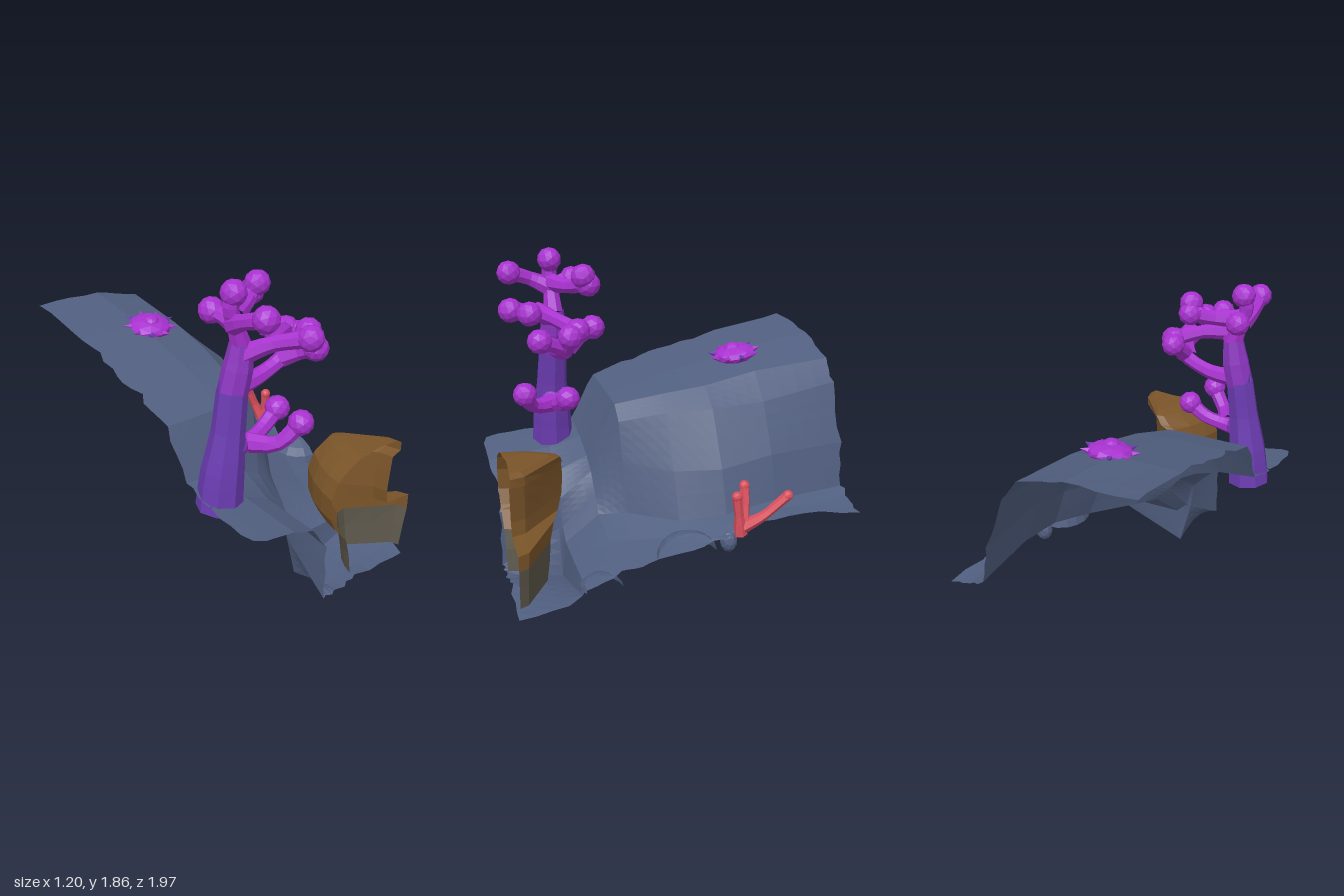
import * as THREE from 'three';

const mat = (name, color, side = THREE.FrontSide) => {
  const m = new THREE.MeshStandardMaterial({ color, flatShading: true, side });
  m.name = name;
  return m;
};
const lerp = THREE.MathUtils.lerp;

export function createModel() {
  const root = new THREE.Group();
  root.name = 'coralCliff';
  const slate = mat('slateRock', 0x515f80, THREE.DoubleSide);
  const brown = mat('brownRock', 0x7a5429, THREE.DoubleSide);
  const olive = mat('mossyRock', 0x5c564a, THREE.DoubleSide);
  const violet = mat('violetTrunk', 0x6a3bb0);
  const orchid = mat('orchidBark', 0x8a35bd);
  const magenta = mat('magentaCoral', 0xa832cf);
  const red = mat('redCoral', 0xd84f5c);

  let seed = 7;
  const rnd = () => (seed = (seed * 16807) % 2147483647) / 2147483647 - 0.5;

  const add = (name, geo, material, parent = root) => {
    const m = new THREE.Mesh(geo, material);
    m.name = name;
    parent.add(m);
    return m;
  };

  // Skin a grid of points; each row holds the same number of [x, y, z]
  const skin = (rows) => {
    const n = rows[0].length, idx = [];
    for (let r = 0; r < rows.length - 1; r++)
      for (let c = 0; c < n - 1; c++) {
        const a = r * n + c, b = a + n;
        idx.push(a, b, a + 1, b, b + 1, a + 1);
      }
    const g = new THREE.BufferGeometry();
    g.setAttribute('position', new THREE.Float32BufferAttribute(rows.flat(2), 3));
    g.setIndex(idx);
    g.computeVertexNormals();
    return g;
  };

  // Limb: a tube whose radius follows the list of radii
  const limb = (name, pts, radii, material, parent, sides = 7) => {
    const steps = (pts.length - 1) * 3;
    const curve = new THREE.CatmullRomCurve3(pts.map((p) => new THREE.Vector3(...p)));
    const g = new THREE.TubeGeometry(curve, steps, 1, sides);
    const p = g.attributes.position, nn = g.attributes.normal;
    for (let i = 0; i < p.count; i++) {
      const t = Math.floor(i / (sides + 1)) / steps * (radii.length - 1);
      const k = Math.min(Math.floor(t), radii.length - 2);
      const d = lerp(radii[k], radii[k + 1], t - k) - 1;
      p.setXYZ(i, p.getX(i) + nn.getX(i) * d, p.getY(i) + nn.getY(i) * d, p.getZ(i) + nn.getZ(i) * d);
    }
    return add(name, g, material, parent);
  };
  const knob = (name, at, r, material, parent) => {
    const m = add(name, new THREE.IcosahedronGeometry(r, 1), material, parent);
    m.position.set(...at);
    return m;
  };

  // Cliff sheet: cross-sections of [x, y] from left to right, back to front
  const zs = [-0.95, -0.5, -0.2, 0.05, 0.3, 0.45, 0.64, 0.66, 0.99];
  const sections = [
    [[-.58, 1.30], [-.2, 1.28], [.08, 1.2], [.17, 1.08], [.3, .75], [.36, .5], [.45, .46], [.56, .43]],
    [[-.58, 1.23], [-.2, 1.22], [.06, 1.16], [.2, 1.02], [.34, .75], [.41, .5], [.48, .48], [.56, .48]],
    [[-.58, 1.16], [-.2, 1.15], [.05, 1.1], [.18, 1.0], [.34, .7], [.42, .46], [.5, .44], [.56, .42]],
    [[-.58, 1.1], [-.2, 1.09], [0, 1.06], [.1, .98], [.24, .68], [.34, .42], [.45, .38], [.56, .35]],
    [[-.58, 1.02], [-.25, 1.01], [-.08, 1.0], [0, .92], [.07, .7], [.15, .42], [.35, .35], [.56, .32]],
    [[-.58, .75], [-.35, .72], [-.18, .66], [-.08, .6], [0, .5], [.08, .4], [.3, .34], [.56, .3]],
    [[-.58, .71], [-.35, .67], [-.18, .58], [-.07, .46], [-.03, .3], [.04, .23], [.25, .22], [.56, .21]],
    [[-.58, .71], [-.35, .67], [-.18, .58], [-.07, .45], [-.05, .28], [.02, .0], [.17, .05], [.56, .18]],
    [[-.58, .69], [-.33, .64], [-.17, .56], [-.08, .42], [-.08, .08], [.04, .08], [.18, .1], [.56, .09]],
  ];
  const S = 4, rows = [];
  const R = (zs.length - 1) * S, C = 7 * S;
  for (let i = 0; i <= R; i++) {
    const a = Math.min(Math.floor(i / S), zs.length - 2), t = i / S - a, row = [];
    for (let j = 0; j <= C; j++) {
      const b = Math.min(Math.floor(j / S), 6), u = j / S - b;
      const at = (k) => lerp(
        lerp(sections[a][b][k], sections[a][b + 1][k], u),
        lerp(sections[a + 1][b][k], sections[a + 1][b + 1][k], u), t);
      // torn, jagged outline
      const jx = j === 0 || j === C ? rnd() * 0.05 : 0;
      const jz = i === 0 || i === R ? rnd() * 0.03 : 0;
      row.push([at(0) + jx, at(1), lerp(zs[a], zs[a + 1], t) + jz]);
    }
    rows.push(row);
  }
  add('cliffGround', skin(rows), slate);

  // Half-buried boulders along the right edge
  for (const [y, z, rx, ry, rz] of [[.33, .08, .16, .13, .17], [.2, .56, .14, .09, .12]]) {
    const b = add('edgeBoulder', new THREE.SphereGeometry(1, 8, 4, -Math.PI / 2, Math.PI, 0, Math.PI / 2), slate);
    b.position.set(.56, y, z);
    b.scale.set(rx, ry, rz);
  }
  knob('smallStone', [.53, .36, -.17], .06, slate, root).scale.set(.9, 1.1, .8);

  // Hollow rock: levels of [y, left x, right x, back z], open to the front
  const arc = [[0, 1], [.05, .7], [.14, .38], [.3, .05], [.42, 0], [.7, .4], [.95, .75], [1, 1]];
  const shell = (levels) => skin(levels.map(([y, l, r, zb]) =>
    arc.map(([u, v]) => [lerp(l, r, u), y, lerp(zb, .99, v)])));
  const rock = new THREE.Group();
  rock.name = 'hollowRock';
  root.add(rock);
  add('rockShell', shell([
    [.885, .2, .4, .98], [.88, .14, .42, .75], [.86, .08, .45, .69], [.81, 0, .45, .67], [.79, -.02, .39, .67],
    [.7, -.06, .38, .66], [.58, -.06, .37, .67], [.5, -.02, .38, .7], [.48, .0, .56, .74], [.39, .07, .56, .77],
  ]), brown, rock);
  add('rockFoot', shell([[.39, .07, .56, .77], [.28, .1, .54, .78], [.15, .12, .52, .8]]), olive, rock);

  // Branching tree
  const tree = new THREE.Group();
  tree.name = 'tree';
  root.add(tree);
  limb('trunk', [[-.475, .64, .59], [-.46, .8, .59], [-.42, 1.05, .59], [-.385, 1.28, .58]],
    [.125, .112, .088, .08], violet, tree, 8);
  limb('upperTrunk', [[-.387, 1.26, .58], [-.35, 1.4, .58], [-.33, 1.52, .58]], [.08, .078, .06], orchid, tree, 8);
  const thorn = add('barkThorn', new THREE.ConeGeometry(.035, .12, 5), violet, tree);
  thorn.position.set(-.44, 1.3, .56);
  thorn.rotation.z = .25;
  const branches = [
    [[-.33, 1.5, .58], [-.37, 1.62, .58], [-.4, 1.72, .58], [-.38, 1.79, .58]],
    [[-.38, 1.63, .58], [-.4, 1.68, .68], [-.38, 1.73, .81]],
    [[-.36, 1.62, .58], [-.4, 1.66, .52], [-.41, 1.67, .45]],
    [[-.37, 1.66, .57], [-.25, 1.66, .5], [-.13, 1.69, .42]],
    [[-.16, 1.69, .44], [-.12, 1.74, .45]],
    [[-.34, 1.46, .59], [-.24, 1.53, .7], [-.13, 1.58, .85]],
    [[-.17, 1.56, .8], [-.06, 1.57, .76]],
    [[-.36, 1.29, .58], [-.2, 1.3, .57], [-.04, 1.36, .57], [.06, 1.46, .57]],
    [[-.26, 1.53, .68], [-.12, 1.52, .62], [.02, 1.48, .52]],
    [[-.05, 1.36, .57], [.0, 1.4, .65], [.03, 1.44, .73]],
    [[-.02, 1.38, .57], [-.03, 1.43, .5], [-.02, 1.48, .43]],
  ];
  const low = [
    [[-.42, .96, .6], [-.28, .97, .6], [-.17, 1.0, .58], [-.07, 1.07, .57]],
    [[-.3, .97, .62], [-.22, .99, .74], [-.12, 1.1, .8]],
  ];
  for (const path of [...branches, ...low]) {
    limb('branch', path, [.055, .04, .045], magenta, tree);
    knob('branchKnob', path[path.length - 1], .068, magenta, tree).rotation.y = rnd() * 3;
  }
  knob('branchCollar', [-.38, .97, .6], .07, orchid, tree);

  // Spiky anemone on the plateau
  const anemone = new THREE.Group();
  anemone.name = 'anemone';
  anemone.position.set(-.15, 1.2, -.46);
  anemone.rotation.x = .15;
  root.add(anemone);
  knob('anemoneBody', [0, .01, 0], .125, magenta, anemone).scale.set(1, .42, 1);
  knob('anemoneCrown', [0, .045, .01], .05, magenta, anemone).scale.y = .7;
  for (let i = 0; i < 9; i++) {
    const a = i / 9 * Math.PI * 2;
    const s = add('anemoneSpike', new THREE.ConeGeometry(.032, .08, 5), i % 3 ? magenta : violet, anemone);
    s.position.set(Math.cos(a) * .12, .015, Math.sin(a) * .12);
    s.quaternion.setFromUnitVectors(new THREE.Vector3(0, 1, 0),
      new THREE.Vector3(Math.cos(a), .25, Math.sin(a)).normalize());
  }

  // Red coral on the right edge
  const coral = new THREE.Group();
  coral.name = 'redCoral';
  root.add(coral);
  const fingers = [
    [[.55, .4, -.23], [.555, .5, -.22], [.55, .63, -.205]],
    [[.55, .44, -.24], [.51, .55, -.27], [.47, .65, -.28]],
    [[.55, .44, -.24], [.555, .49, -.36], [.56, .55, -.44], [.565, .6, -.5]],
  ];
  for (const f of fingers) {
    limb('coralFinger', f, [.04, .026, .028], red, coral, 6);
    knob('coralTip', f[f.length - 1], .03, red, coral);
  }
  return root;
}
